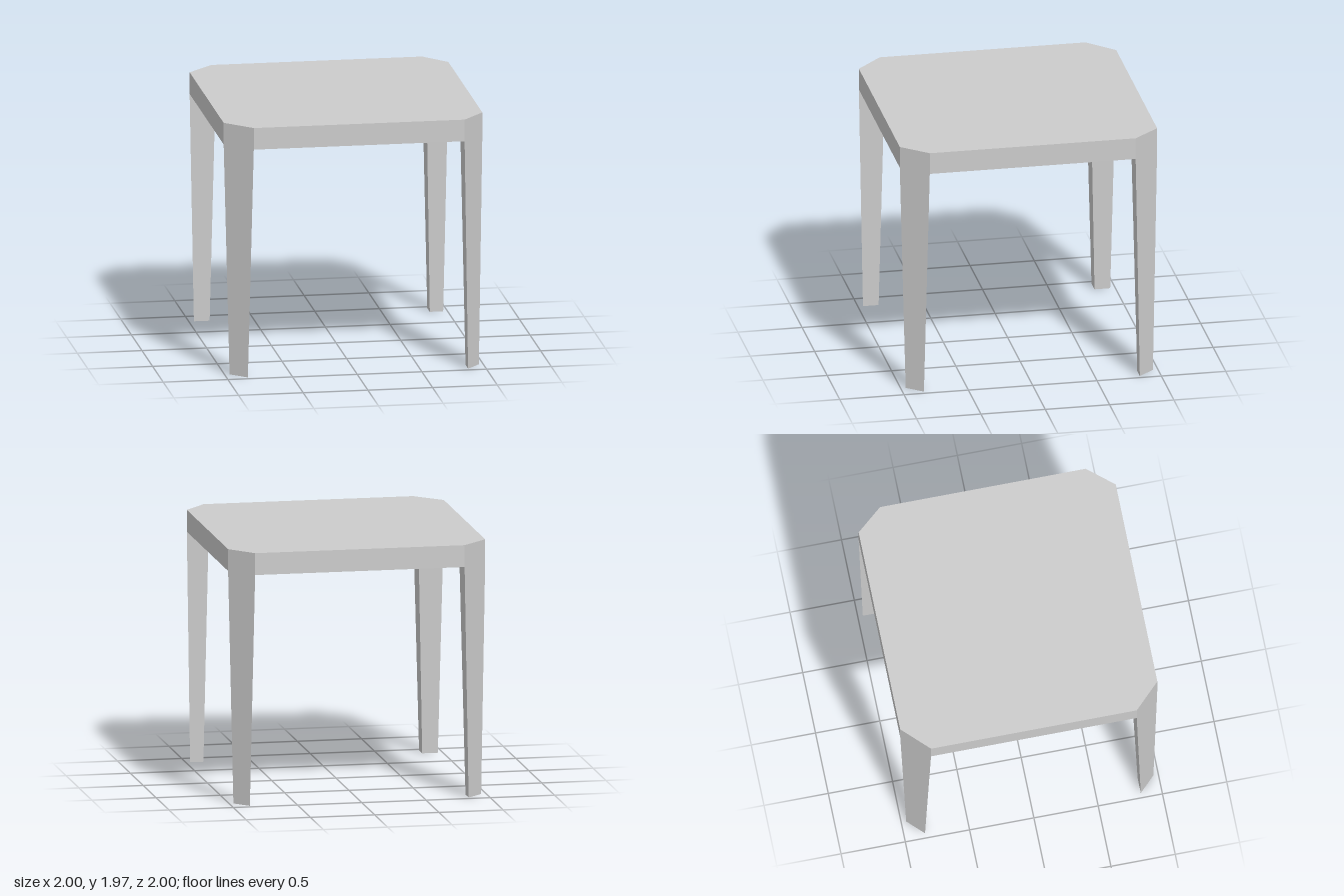
import * as THREE from 'three';

const HEIGHT = 1.97, UNDERSIDE = 1.8;
const material = new THREE.MeshStandardMaterial({ color: 0xcccccc, flatShading: true });

// Upright prism from a plan outline of [x, z] points.
function prism(outline, bottom, top) {
  const shape = new THREE.Shape(outline.map(([x, z]) => new THREE.Vector2(x, -z)));
  const geometry = new THREE.ExtrudeGeometry(shape, { depth: top - bottom, bevelEnabled: false });
  return geometry.rotateX(-Math.PI / 2).translate(0, bottom, 0);
}

// Shrinks the foot of a leg towards the axis (cx, cz).
function taper(geometry, cx, cz, scale) {
  const p = geometry.attributes.position;
  for (let i = 0; i < p.count; i++) {
    if (p.getY(i) > 0.01) continue;
    p.setX(i, cx + (p.getX(i) - cx) * scale);
    p.setZ(i, cz + (p.getZ(i) - cz) * scale);
  }
  geometry.computeVertexNormals();
  return geometry;
}

function addPart(group, name, geometry) {
  const mesh = new THREE.Mesh(geometry, material);
  mesh.name = name;
  group.add(mesh);
}

export function createModel() {
  const table = new THREE.Group();
  table.name = 'table';

  // Corner cuts: the left side (+x) is slightly narrower in x.
  const xl = 0.83, xr = -0.8, z = 0.8;

  // Slab with four cut corners
  addPart(table, 'tableTop', prism([
    [xr, 1], [xl, 1], [1, z], [1, -z], [xl, -1], [xr, -1], [-1, -z], [-1, z],
  ], UNDERSIDE, HEIGHT));

  // Triangular tapered legs, flush with the cut corners
  for (const [side, xi] of [['Left', xl], ['Right', xr]]) {
    for (const [end, s] of [['front', 1], ['back', -1]]) {
      const xo = Math.sign(xi);
      const leg = prism([[xi, s * z], [xo, s * z], [xi, s]], 0, UNDERSIDE);
      addPart(table, `${end}${side}Leg`, taper(leg, (xi + xo) / 2, s * 0.9, 0.61));
    }
  }
  return table;
}
